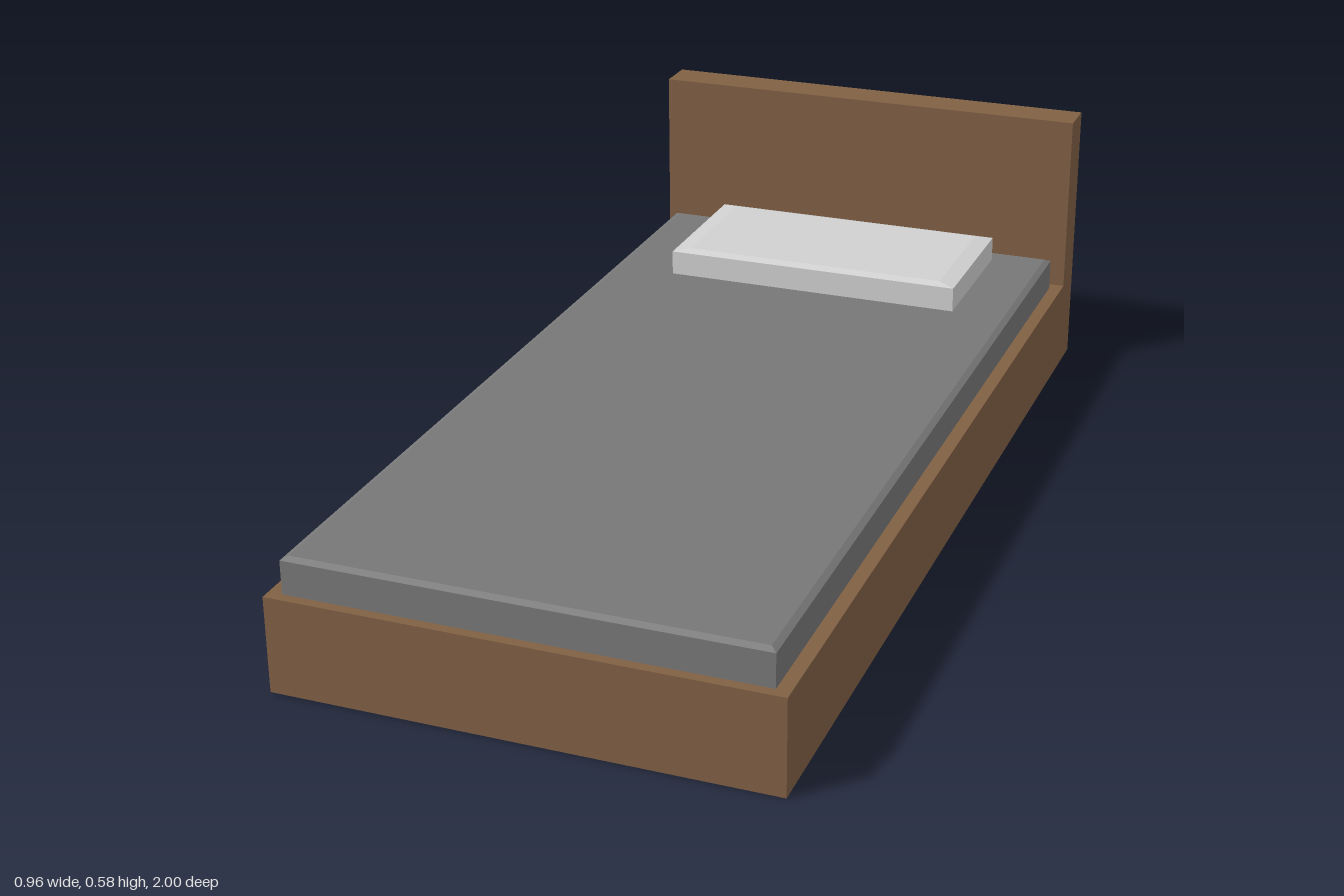
import * as THREE from 'three';

const wood = new THREE.MeshStandardMaterial({ color: 0x806044 });
wood.name = 'brown wood';
const greyFabric = new THREE.MeshStandardMaterial({ color: 0x777777 });
greyFabric.name = 'grey fabric';
const whiteFabric = new THREE.MeshStandardMaterial({ color: 0xd0d0d0 });
whiteFabric.name = 'pale fabric';

// Block standing on y = 0 whose top edges are bevelled by the given insets
function bevelledBlock(width, height, depth, insetX, insetZ, bevelHeight) {
  const box = new THREE.BoxGeometry(width, height, depth, 1, 2, 1);
  box.translate(0, height / 2, 0);
  const p = box.attributes.position;
  for (let i = 0; i < p.count; i++) {
    const y = p.getY(i);
    if (y > height * 0.75) {
      p.setX(i, Math.sign(p.getX(i)) * (width / 2 - insetX));
      p.setZ(i, Math.sign(p.getZ(i)) * (depth / 2 - insetZ));
    } else if (y > height * 0.25) {
      p.setY(i, height - bevelHeight);
    }
  }
  const flat = box.toNonIndexed();
  flat.computeVertexNormals();
  return flat;
}

export function createModel() {
  const bed = new THREE.Group();
  bed.name = 'bed';

  function add(name, geometry, material, x = 0, y = 0, z = 0) {
    const mesh = new THREE.Mesh(geometry, material);
    mesh.name = name;
    mesh.position.set(x, y, z);
    bed.add(mesh);
  }

  // Base and headboard: one L-shaped side profile (z, y) swept across the width
  const profile = new THREE.Shape([
    [-1, 0], [1, 0], [1, 0.19], [-0.915, 0.19], [-0.915, 0.576], [-1, 0.576],
  ].map(([z, y]) => new THREE.Vector2(z, y)));
  const frame = new THREE.ExtrudeGeometry(profile, { depth: 0.96, bevelEnabled: false });
  frame.translate(0, 0, -0.48).rotateY(-Math.PI / 2);
  add('frameAndHeadboard', frame, wood);

  // Mattress with a fine edge bevel
  add('mattress', bevelledBlock(0.906, 0.072, 1.87, 0.012, 0.012, 0.006), greyFabric, 0, 0.19, 0.045);

  // Pillow, slightly off centre, with a shallow sloping rim
  add('pillow', bevelledBlock(0.642, 0.058, 0.33, 0.036, 0.018, 0.006), whiteFabric, 0.009, 0.262, -0.672);

  return bed;
}
